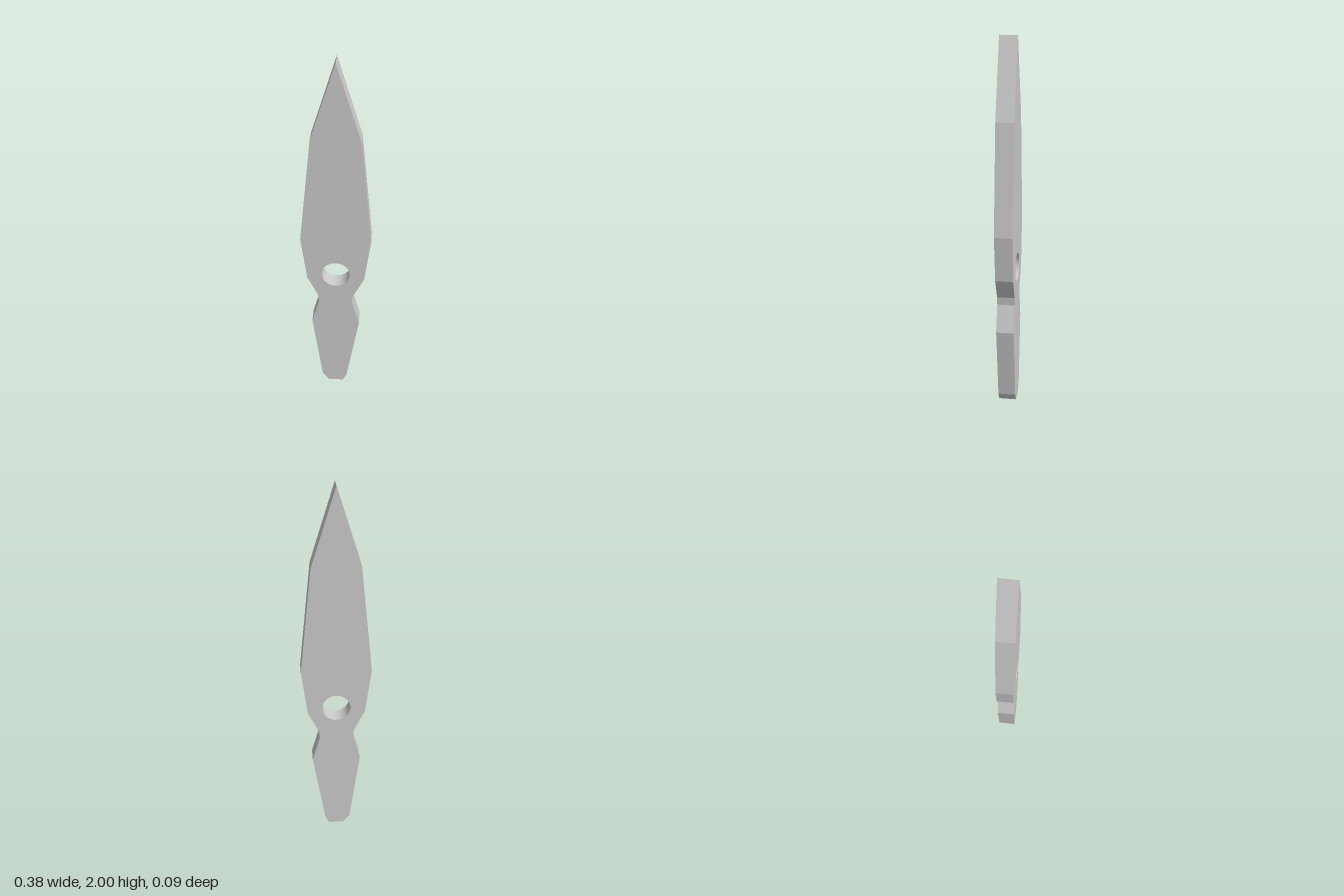
import * as THREE from 'three';

export function createModel() {
  const group = new THREE.Group();
  group.name = 'throwingKnife';
  const material = new THREE.MeshStandardMaterial({ color: 0xcccccc, flatShading: true });

  // Outline of blade, waist and handle, counter-clockwise from the tip
  const outline = [
    [0, 2], [-0.128, 1.59], [-0.188, 1], [-0.155, 0.75], [-0.098, 0.635],
    [-0.092, 0.59], [-0.132, 0.45], [-0.076, 0.045], [-0.04, 0],
    [0.042, 0], [0.063, 0.04], [0.131, 0.445], [0.09, 0.59],
    [0.095, 0.635], [0.154, 0.75], [0.187, 1], [0.128, 1.585],
  ];
  const shape = new THREE.Shape(outline.map(([x, y]) => new THREE.Vector2(x, y)));

  // Round hole at the base of the blade
  const hole = new THREE.Path();
  hole.absarc(0, 0.778, 0.076, 0, Math.PI * 2, true);
  shape.holes.push(hole);

  // Flat plate, centred on z
  const depth = 0.095;
  const geometry = new THREE.ExtrudeGeometry(shape, { depth, bevelEnabled: false, curveSegments: 24 });
  geometry.translate(0, 0, -depth / 2);

  const knife = new THREE.Mesh(geometry, material);
  knife.name = 'bladeAndHandle';
  group.add(knife);
  return group;
}
